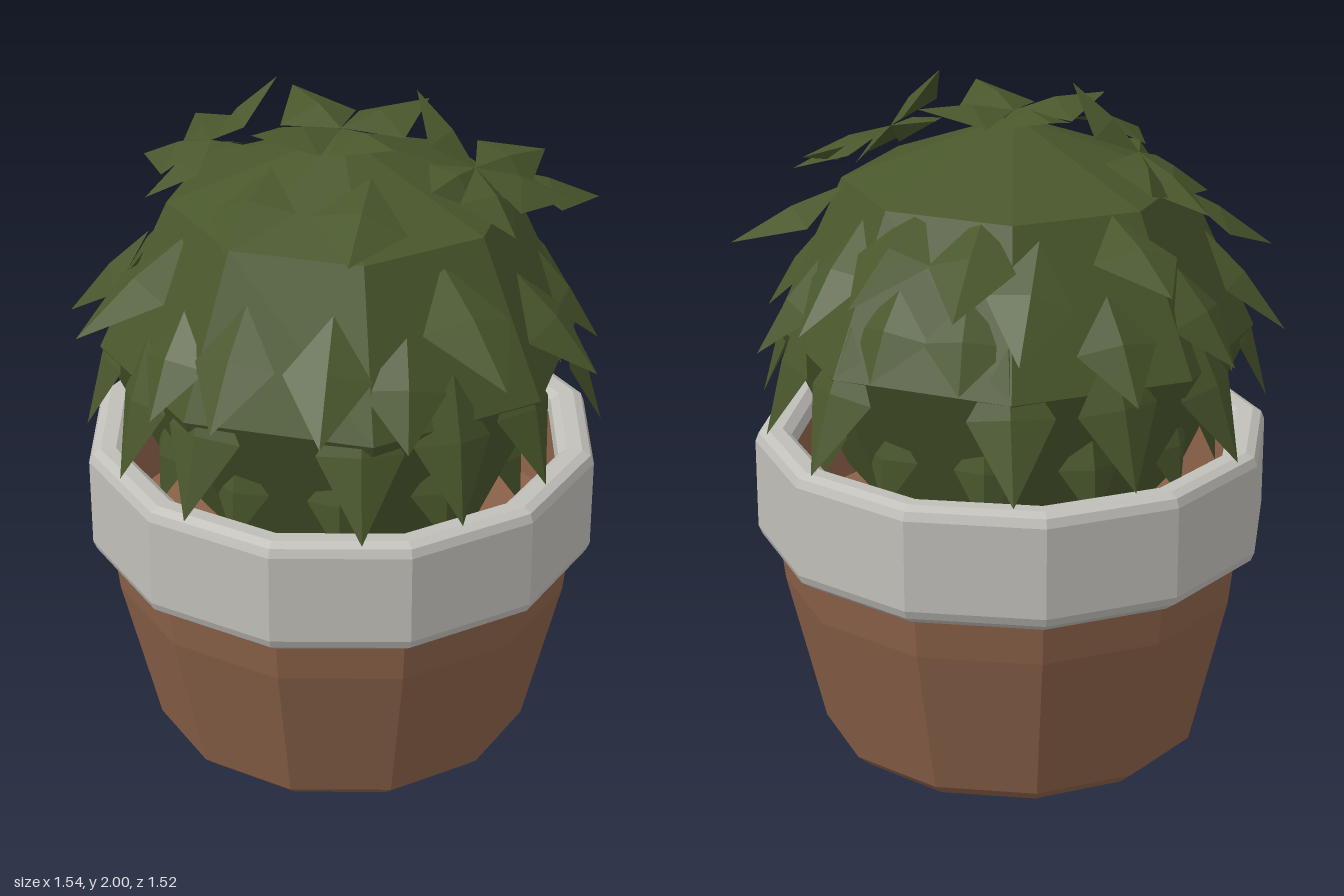
import * as THREE from 'three';
import { mergeGeometries } from 'three/addons/utils/BufferGeometryUtils.js';

const V = (x, y, z) => new THREE.Vector3(x, y, z);

// Faceted normals for the low-poly look
function faceted(geo) {
  const g = geo.index ? geo.toNonIndexed() : geo;
  g.computeVertexNormals();
  return g;
}

function lathe(points) {
  return faceted(new THREE.LatheGeometry(points.map(p => new THREE.Vector2(...p)), 12));
}

// A folded, pointed leaf running from base to tip, ridge facing away from the bush centre
function leaf(base, tip, halfWidth) {
  const dir = tip.clone().sub(base);
  const mid = base.clone().addScaledVector(dir, 0.45);
  const out = mid.clone().sub(V(0, 1.2, 0)).normalize();
  const side = new THREE.Vector3().crossVectors(out, dir).normalize();
  const up = new THREE.Vector3().crossVectors(dir, side).normalize();
  const ridge = mid.clone().addScaledVector(up, 0.015);
  const a = mid.clone().addScaledVector(side, halfWidth).addScaledVector(up, -0.03);
  const b = mid.clone().addScaledVector(side, -halfWidth).addScaledVector(up, -0.03);
  const tris = [base, ridge, a, a, ridge, tip, base, b, ridge, b, tip, ridge];
  const g = new THREE.BufferGeometry().setFromPoints(tris);
  g.computeVertexNormals();
  return g;
}

export function createModel() {
  const model = new THREE.Group();
  const mat = (name, color, side = THREE.FrontSide) => {
    const m = new THREE.MeshStandardMaterial({ color, side });
    m.name = name;
    return m;
  };
  const clay = mat('brown clay', 0x8b6249);
  const stone = mat('pale grey rim', 0xc1bfb9);
  const green = mat('leaf green', 0x49572c, THREE.DoubleSide);
  const add = (name, geo, material) => {
    const mesh = new THREE.Mesh(geo, material);
    mesh.name = name;
    model.add(mesh);
    return mesh;
  };

  // Pot: tapered outer wall, inner wall and floor
  add('pot', lathe([[0, 0], [0.52, 0], [0.565, 0.04], [0.675, 0.5], [0.69, 0.63]]), clay).position.z = -0.01;
  add('potInside', lathe([[0.64, 0.91], [0.62, 0.66], [0, 0.66]]), clay).position.z = -0.01;
  add('rim', lathe([[0.68, 0.62], [0.705, 0.62], [0.74, 0.645], [0.75, 0.67], [0.75, 0.935], [0.74, 0.96],
    [0.715, 0.972], [0.67, 0.97], [0.645, 0.95], [0.64, 0.9]]), stone).position.z = -0.01;

  // Bush core: eight-sided dome with flat faces to front and sides
  const core = new THREE.SphereGeometry(0.69, 8, 4);
  core.rotateY(Math.PI / 8);
  core.scale(1, 0.615 / 0.69, 1);
  core.translate(0, 1.26, 0);
  add('bushCore', faceted(core), green);

  // Leaves on the +x half, mirrored: [base xyz, tip xyz, half width]
  const sprigs = {
    crownLeaves: [
      [0, 1.89, 0, 0.2, 1.92, -0.21, 0.12],
      [0, 1.89, 0, 0.2, 1.92, 0.19, 0.12],
    ],
    topSprigLeaves: [
      [0.38, 1.81, -0.01, 0.2, 2.0, -0.06, 0.09],
      [0.38, 1.81, -0.01, 0.3, 1.8, 0.17, 0.09],
      [0.38, 1.81, -0.01, 0.52, 1.77, -0.29, 0.11],
      [0.38, 1.81, -0.01, 0.63, 1.69, -0.14, 0.11],
      [0.38, 1.81, -0.01, 0.53, 1.68, 0.14, 0.11],
    ],
    upperLeaves: [
      [0.14, 1.84, 0.2, 0.17, 1.73, 0.55, 0.13],
      [0.36, 1.65, 0.29, 0.6, 1.42, 0.54, 0.14],
      [0.09, 1.71, -0.41, 0.15, 1.51, -0.76, 0.12],
      [0.4, 1.7, -0.27, 0.65, 1.56, -0.48, 0.13],
      [0.26, 1.66, -0.44, 0.32, 1.4, -0.72, 0.12],
    ],
    middleLeaves: [
      [0.12, 1.57, 0.51, 0.15, 1.3, 0.76, 0.12],
      [0.53, 1.57, 0.12, 0.77, 1.3, 0.14, 0.12],
      [0.54, 1.53, -0.13, 0.72, 1.27, -0.15, 0.12],
      [0.43, 1.51, -0.38, 0.57, 1.25, -0.5, 0.12],
      [0.1, 1.51, -0.55, 0.13, 1.28, -0.68, 0.12],
      [0.31, 1.51, 0.47, 0.36, 1.25, 0.64, 0.12],
    ],
    lowerLeaves: [
      [0.21, 1.41, 0.57, 0.25, 0.99, 0.7, 0.12],
      [0.43, 1.4, 0.43, 0.49, 1.0, 0.54, 0.12],
      [0.57, 1.41, 0.24, 0.67, 1.03, 0.31, 0.12],
      [0.6, 1.39, -0.16, 0.74, 1.0, -0.16, 0.12],
      [0.46, 1.4, -0.42, 0.56, 1.0, -0.48, 0.12],
      [0.23, 1.4, -0.58, 0.3, 1.0, -0.71, 0.12],
    ],
  };
  for (const [name, rows] of Object.entries(sprigs)) {
    const leaves = [];
    for (const [bx, by, bz, tx, ty, tz, w] of rows) {
      for (const s of [1, -1]) leaves.push(leaf(V(s * bx, by, bz), V(s * tx, ty, tz), w));
    }
    add(name, mergeGeometries(leaves), green);
  }

  // Small hanging leaves just inside the rim
  const inner = [];
  for (let i = 0; i < 12; i++) {
    const a = ((i + 0.5) / 12) * Math.PI * 2;
    const at = (r, y) => V(Math.sin(a) * r, y, Math.cos(a) * r);
    inner.push(leaf(at(0.56, 1.14), at(0.59, 0.87), 0.09));
  }
  add('innerLeaves', mergeGeometries(inner), green);

  return model;
}
